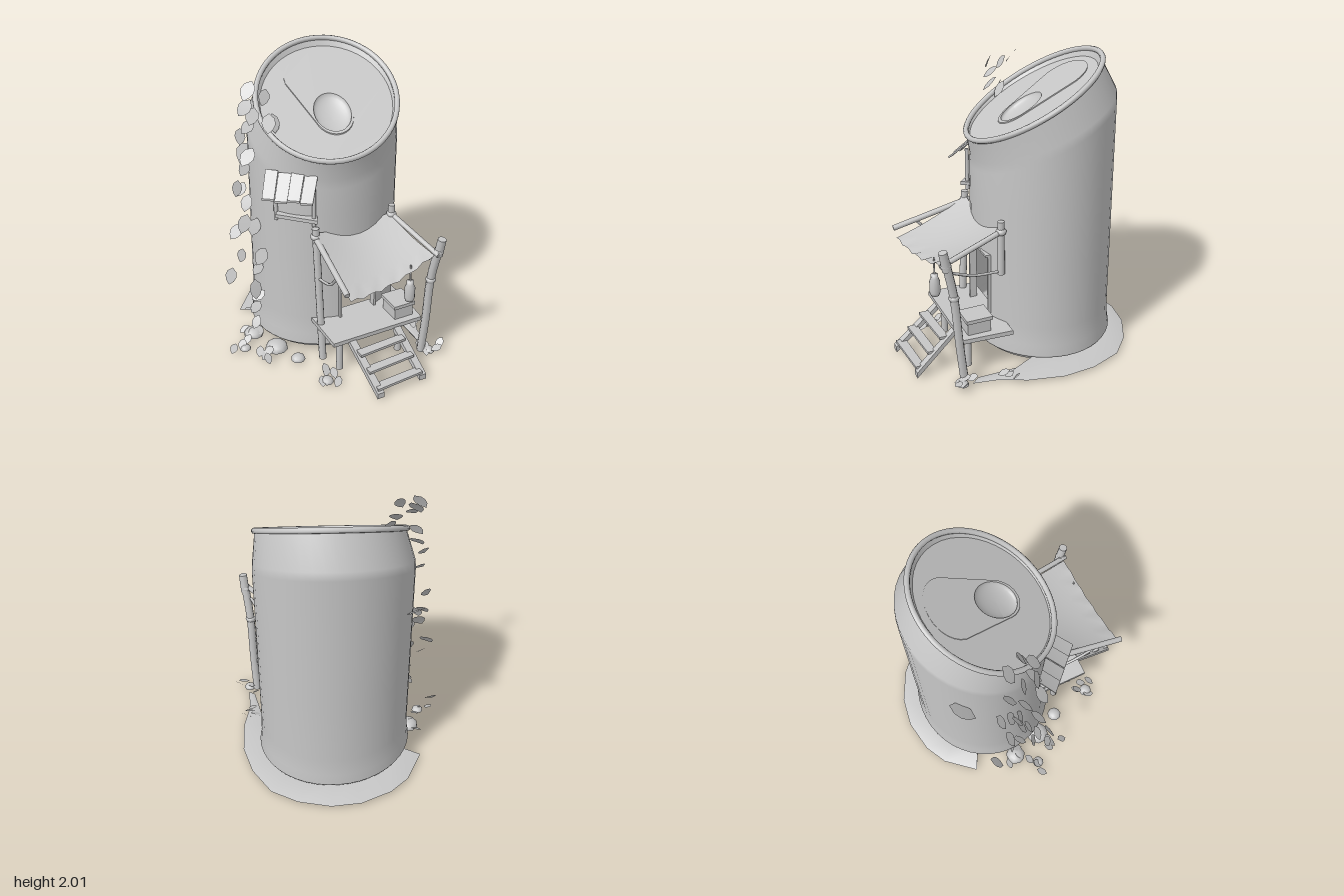
import * as THREE from 'three';

const V = (x, y, z) => new THREE.Vector3(x, y, z);
const CX = 0.08, CZ = -0.215, RX = 0.505, RZ = 0.465;   // can centre and radii
const LZ = -0.15, LRX = 0.465, LRZ = 0.42;              // tilted lid
const lidY = (x, z) => 1.745 + 0.15 * (x - CX) - 0.58 * (z - LZ);

export function createModel() {
  const root = new THREE.Group();
  const grey = new THREE.MeshStandardMaterial({ color: 0xc6c6c6, side: THREE.DoubleSide });
  grey.name = 'plain grey';
  let seed = 7;
  const rnd = () => (seed = (seed * 16807) % 2147483647) / 2147483647;

  const add = (name, geo, parent = root) => {
    const m = new THREE.Mesh(geo, grey);
    m.name = name;
    parent.add(m);
    return m;
  };
  const group = (name) => {
    const g = new THREE.Group();
    g.name = name;
    root.add(g);
    return g;
  };
  const remap = (geo, fn) => {
    const p = geo.attributes.position;
    for (let i = 0; i < p.count; i++) {
      const q = fn(p.getX(i), p.getY(i), p.getZ(i));
      p.setXYZ(i, q.x, q.y, q.z);
    }
    geo.computeVertexNormals();
    return geo;
  };
  // Skin rows of points; skip(row, column) leaves openings
  const loft = (rows, closed, skip = () => false) => {
    const n = rows[0].length, index = [];
    for (let r = 0; r < rows.length - 1; r++)
      for (let c = 0; c < (closed ? n : n - 1); c++) {
        if (skip(r, c)) continue;
        const a = r * n + c, b = r * n + (c + 1) % n;
        index.push(a, b, a + n, b, b + n, a + n);
      }
    const g = new THREE.BufferGeometry().setFromPoints(rows.flat());
    g.setIndex(index);
    g.computeVertexNormals();
    return g;
  };
  const tube = (name, pts, r, parent, sides = 8) =>
    add(name, new THREE.TubeGeometry(new THREE.CatmullRomCurve3(pts), 10, r, sides), parent);
  const rod = (name, a, b, r, parent) => {
    const m = add(name, new THREE.CylinderGeometry(r * 0.95, r, a.distanceTo(b), 9), parent);
    m.position.copy(a).lerp(b, 0.5);
    m.quaternion.setFromUnitVectors(V(0, 1, 0), b.clone().sub(a).normalize());
    return m;
  };
  const box = (name, x0, x1, y0, y1, z0, z1, parent) => {
    const m = add(name, new THREE.BoxGeometry(x1 - x0, y1 - y0, z1 - z0), parent);
    m.position.set((x0 + x1) / 2, (y0 + y1) / 2, (z0 + z1) / 2);
    return m;
  };
  // Board with four top corners: a-b is one end, c-d the other
  const slab = (name, a, b, c, d, thick, parent) =>
    add(name, remap(new THREE.BoxGeometry(1, 1, 1), (x, y, z) => {
      const p = a.clone().lerp(b, x + 0.5).lerp(c.clone().lerp(d, x + 0.5), z + 0.5);
      p.y += (y - 0.5) * thick;
      return p;
    }), parent);

  // Can wall with a doorway
  const angles = [];
  for (let i = 0; i < 4; i++) angles.push(-0.2 + 0.547 * i / 4);
  for (let i = 0; i < 40; i++) angles.push(0.347 + (2 * Math.PI - 0.547) * i / 40);
  const ring = (s, y) => angles.map(t => V(CX + RX * s * Math.sin(t), y, CZ + RZ * s * Math.cos(t)));
  const shoulder = (s, drop) => ring(s, 0).map(p =>
    p.setY(1.565 - drop + 0.12 * (p.x - CX) - 0.46 * (p.z - CZ)));
  const rim = (s, h) => angles.map(t => {
    const x = CX + LRX * s * Math.sin(t), z = LZ + LRZ * s * Math.cos(t);
    return V(x, lidY(x, z) + h, z);
  });
  add('canBody', loft([ring(0.92, 0.04), ring(0.95, 0.075), ring(1.02, 0.085), ring(1.035, 0.1),
    ring(1.01, 0.17), ring(1, 0.3), ring(1, 0.75), ring(1, 1.1), shoulder(1, 0.06), shoulder(0.99, 0),
    rim(1, -0.02)], true, (r, c) => r === 5 && c < 4));

  // Lid: rolled rim, recessed panel, teardrop plate and dished opening
  const lid = group('lid');
  add('rim', new THREE.TubeGeometry(new THREE.CatmullRomCurve3(rim(1, 0), true), 64, 0.018, 8, true), lid);
  add('rimInner', loft([rim(1, 0.01), rim(0.94, -0.035)], true), lid);
  const onLid = (geo) => remap(geo, (x, y, z) => V(CX + x, lidY(CX + x, LZ - y) + z, LZ - y));
  const hole = () => new THREE.Path().absellipse(0, -0.08, 0.12, 0.13, 0, Math.PI * 2);
  const disc = new THREE.Shape().absellipse(0, 0, LRX * 0.945, LRZ * 0.945, 0, Math.PI * 2);
  disc.holes.push(hole());
  add('panel', onLid(new THREE.ShapeGeometry(disc, 24).translate(0, 0, -0.035)), lid);
  const drop = new THREE.Shape();
  drop.moveTo(-0.13, -0.1);
  drop.lineTo(-0.2, 0.2);
  drop.bezierCurveTo(-0.19, 0.4, 0.19, 0.4, 0.2, 0.2);
  drop.lineTo(0.13, -0.1);
  drop.bezierCurveTo(0.11, -0.27, -0.11, -0.27, -0.13, -0.1);
  drop.holes.push(hole());
  add('teardropPlate', onLid(new THREE.ExtrudeGeometry(drop,
    { depth: 0.008, bevelEnabled: false, curveSegments: 16 }).translate(0, 0, -0.035)), lid);
  add('dish', onLid(new THREE.SphereGeometry(1, 24, 8, 0, Math.PI * 2, Math.PI / 2, Math.PI / 2)
    .rotateX(Math.PI / 2).scale(0.12, 0.13, 0.05).translate(0, -0.08, -0.03)), lid);

  // Door frame
  const door = group('doorFrame');
  box('jamb', -0.03, -0.015, 0.3, 0.75, 0.21, 0.26, door);
  box('jamb', 0.245, 0.26, 0.3, 0.75, 0.19, 0.24, door);
  box('lintel', -0.03, 0.26, 0.745, 0.76, 0.2, 0.255, door);

  // Sloping earth bank round the back
  const bank = [[-0.46, -0.51], [-0.3, -0.7], [-0.15, -0.78], [0.07, -0.82], [0.27, -0.79], [0.47, -0.69],
    [0.62, -0.55], [0.7, -0.33], [0.715, -0.11], [0.66, 0.13], [0.58, 0.3], [0.55, 0.47]];
  const outer = bank.map(([x, z]) => V(x, 0.02, z));
  const inner = bank.map(([x, z], i) => {
    if (i > 9) return V(0.515, 0.03, i === 10 ? 0.15 : 0.42);
    const t = Math.atan2((x - CX) / RX, (z - CZ) / RZ);
    return V(CX + RX * 0.95 * Math.sin(t), 0.06, CZ + RZ * 0.95 * Math.cos(t));
  });
  const under = inner.map(p => V(p.x, 0.018, p.z));
  add('earthBank', loft([outer, inner, under, outer], false));

  // Porch deck, legs and stairs
  const porch = group('porch');
  slab('deck', V(-0.2, 0.305, 0.16), V(0.49, 0.305, 0.16), V(-0.2, 0.305, 0.5), V(0.47, 0.305, 0.5), 0.03, porch);
  for (const x of [-0.115, 0.34]) rod('deckLeg', V(x, 0.02, 0.42), V(x, 0.28, 0.42), 0.024, porch);
  const stair = (x0, x1, z1) => slab('stringer', V(x0 - 0.025, 0.29, 0.49), V(x0 + 0.025, 0.29, 0.49),
    V(x1 - 0.025, 0.055, z1), V(x1 + 0.025, 0.055, z1), 0.04, porch);
  stair(-0.06, -0.015, 0.81);
  stair(0.28, 0.325, 0.775);
  [[0.085, 0.79], [0.165, 0.7], [0.245, 0.61]].forEach(([y, z], i) => {
    const s = 0.015 * i;
    slab('tread', V(-0.03 - s, y, z - 0.055), V(0.32 - s, y, z - 0.075),
      V(-0.03 - s, y, z + 0.01), V(0.32 - s, y, z - 0.015), 0.018, porch);
  });
  box('crate', 0.29, 0.43, 0.305, 0.395, 0.29, 0.45, porch);
  box('crateLid', 0.28, 0.44, 0.39, 0.415, 0.28, 0.46, porch);

  // Awning posts, beams and braces
  const frame = group('awningFrame');
  rod('wallPost', V(-0.165, 0.02, 0.27), V(-0.19, 1.03, 0.22), 0.026, frame);
  rod('wallPost', V(0.385, 0.68, 0.2), V(0.385, 1.05, 0.2), 0.024, frame);
  tube('frontPost', [V(0.48, 0.02, 0.5), V(0.485, 0.3, 0.53), V(0.485, 0.65, 0.56), V(0.5, 0.9, 0.61)], 0.028, frame);
  rod('postTop', V(0.5, 0.85, 0.605), V(0.505, 0.98, 0.63), 0.03, frame);
  rod('sideBeam', V(-0.19, 0.96, 0.22), V(-0.225, 0.83, 0.72), 0.02, frame);
  rod('sideBeam', V(0.385, 0.98, 0.2), V(0.48, 0.87, 0.64), 0.018, frame);
  tube('brace', [V(0.385, 0.7, 0.22), V(0.42, 0.73, 0.4), V(0.47, 0.81, 0.57)], 0.01, frame, 6);
  tube('brace', [V(-0.18, 0.66, 0.25), V(-0.19, 0.72, 0.42), V(-0.21, 0.86, 0.56)], 0.01, frame, 6);
  for (const [x, y, z] of [[-0.19, 0.97, 0.22], [0.385, 0.98, 0.2], [0.495, 0.88, 0.61], [0.485, 0.64, 0.56]]) {
    const knot = add('ropeKnot', new THREE.SphereGeometry(0.036, 10, 6), frame);
    knot.position.set(x, y, z);
    knot.scale.y = 0.75;
  }

  // Sagging cloth awning with a ragged front edge
  add('awningCloth', remap(new THREE.PlaneGeometry(1, 1, 14, 8), (x, y) => {
    const u = x + 0.5, v = 0.5 - y;
    const p = V(-0.185, 1.0, 0.22).lerp(V(0.37, 0.99, 0.19), u)
      .lerp(V(-0.195, 0.77, 0.71).lerp(V(0.46, 0.87, 0.62), u), v);
    p.y -= 0.045 * Math.sin(Math.PI * u) + 0.02 * Math.sin(Math.PI * v);
    if (v > 0.99) p.y += 0.012 * Math.sin(u * 31);
    return p;
  }));

  // Hanging lantern
  const lantern = group('lantern');
  const jar = add('jar', new THREE.LatheGeometry([[0, 0], [0.028, 0.002], [0.035, 0.025], [0.035, 0.1],
    [0.024, 0.125], [0.024, 0.15], [0, 0.155]].map(([x, y]) => new THREE.Vector2(x, y)), 12), lantern);
  jar.position.set(0.29, 0.57, 0.615);
  rod('cord', V(0.29, 0.72, 0.615), V(0.29, 0.84, 0.615), 0.006, lantern);

  // Side window with plank roof and sill
  const win = group('window');
  const hi0 = V(-0.42, 1.4, -0.02), hi1 = V(-0.16, 1.4, 0.2), lo0 = V(-0.49, 1.25, 0.07), lo1 = V(-0.25, 1.28, 0.31);
  for (let i = 0; i < 4; i++) {
    const a = i / 4, b = (i + 0.97) / 4, dip = (i % 2) * 0.012;
    const at = (p, q, t) => p.clone().lerp(q, t).add(V(0, -dip, 0));
    slab('roofPlank', at(hi0, hi1, a), at(hi0, hi1, b), at(lo0, lo1, a), at(lo0, lo1, b), 0.014, win);
  }
  rod('windowPost', V(-0.19, 1.04, 0.2), V(-0.19, 1.33, 0.2), 0.014, win);
  rod('windowPost', V(-0.37, 1.04, 0.01), V(-0.37, 1.33, 0.01), 0.014, win);
  slab('sill', V(-0.36, 1.1, 0), V(-0.16, 1.1, 0.19), V(-0.39, 1.1, 0.05), V(-0.19, 1.1, 0.25), 0.025, win);

  // Leaves
  const leafShape = new THREE.Shape();
  leafShape.moveTo(0, 0.06);
  leafShape.bezierCurveTo(0.06, 0.03, 0.045, -0.03, 0, -0.06);
  leafShape.bezierCurveTo(-0.045, -0.03, -0.06, 0.03, 0, 0.06);
  const leafGeo = remap(new THREE.ShapeGeometry(leafShape, 4), (x, y) => V(x, y, -5 * x * x - 3 * y * y));
  const vine = group('ivy');
  const leaf = (x, y, z, s, flat) => {
    const m = add('leaf', leafGeo, vine);
    m.position.set(x, y, z);
    m.rotation.set(flat ? -1.2 + rnd() * 0.5 : -0.8 + rnd() * 0.5, -0.9 + rnd() * 1.2, -0.9 + rnd() * 0.8, 'YXZ');
    m.scale.setScalar(s);
  };
  const spots = [[-0.44, 1.86], [-0.37, 1.84], [-0.52, 1.81], [-0.47, 1.75], [-0.38, 1.7], [-0.32, 1.67],
    [-0.48, 1.65], [-0.49, 1.55], [-0.53, 1.5], [-0.51, 1.37], [-0.54, 1.2], [-0.49, 1.14], [-0.48, 1.07],
    [-0.52, 0.95], [-0.46, 0.92], [-0.55, 0.85], [-0.47, 0.77], [-0.54, 0.7], [-0.47, 0.63],
    [-0.54, 0.56], [-0.5, 0.46], [-0.56, 0.43], [-0.51, 0.34], [-0.55, 0.29]];
  spots.forEach(([x, y], i) => leaf(x, y, (y > 1.6 ? -0.12 : -0.15) + (rnd() - 0.5) * (y > 1.6 ? 0.2 : 0.45), 0.8 + rnd() * 0.4, false));
  leaf(-0.36, 1.3, -0.5, 1.6, true);

  // Ground plants and stones
  for (const [x, z, n] of [[-0.25, 0.5, 5], [-0.5, 0.1, 4], [-0.62, -0.08, 3], [0.55, 0.52, 5], [0.6, 0.2, 4], [-0.5, -0.2, 4]])
    for (let i = 0; i < n; i++) leaf(x + (rnd() - 0.5) * 0.13, 0.03 + rnd() * 0.04, z + (rnd() - 0.5) * 0.13, 0.7, true);
  const stones = group('stones');
  for (const [x, z, s] of [[-0.4, 0.02, 0.08], [-0.48, -0.2, 0.07], [-0.25, 0.5, 0.045], [-0.6, -0.07, 0.04], [0.53, 0.53, 0.04], [-0.32, 0.2, 0.05]]) {
    const m = add('stone', new THREE.SphereGeometry(s, 9, 5, 0, Math.PI * 2, 0, Math.PI / 2), stones);
    m.position.set(x, 0.015, z);
    m.scale.y = 0.75;
    m.rotation.y = s * 40;
  }

  return root;
}
